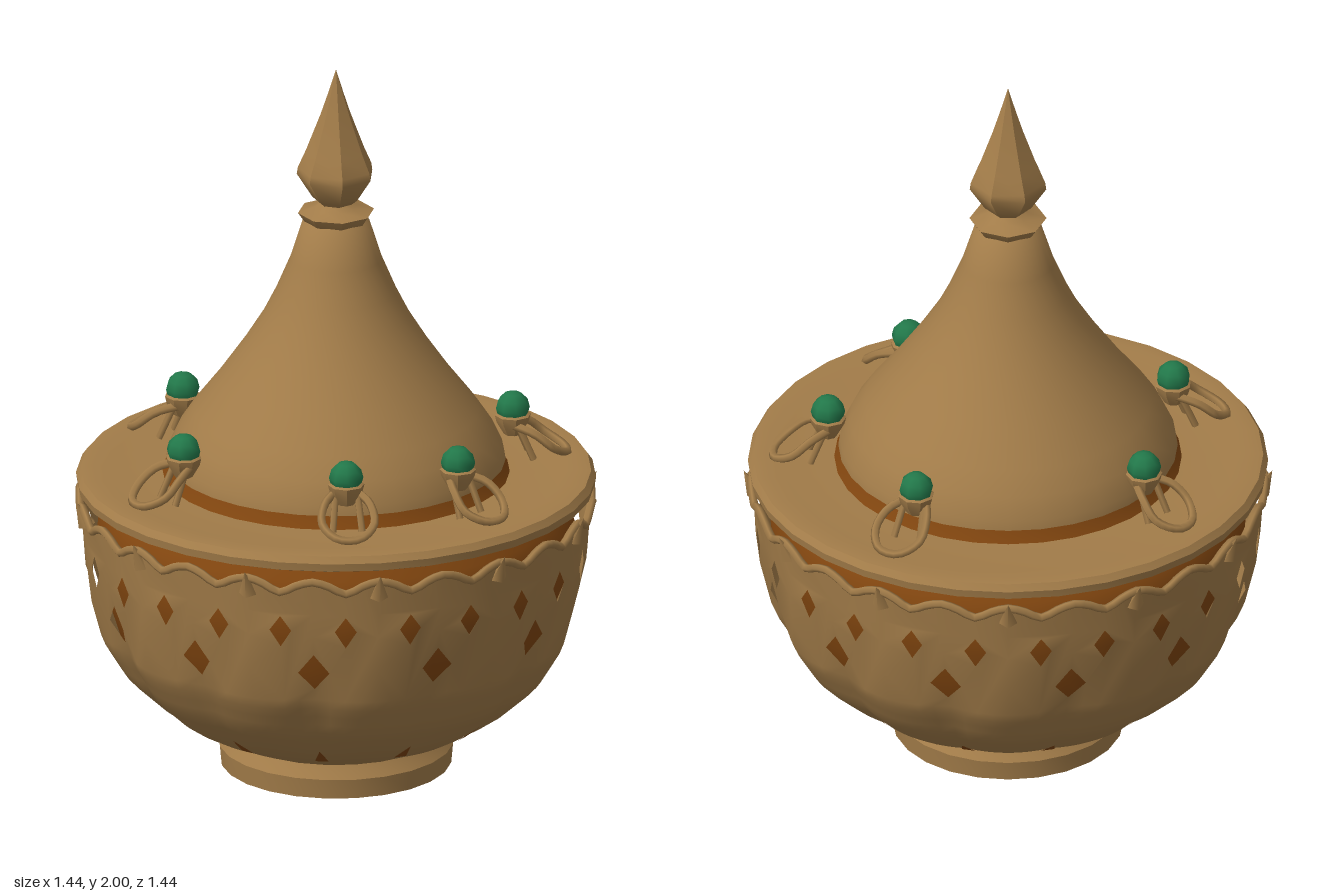
import * as THREE from 'three';
import { mergeGeometries, mergeVertices, toCreasedNormals } from 'three/addons/utils/BufferGeometryUtils.js';

const material = (name, color, side = THREE.FrontSide) => {
  const m = new THREE.MeshStandardMaterial({ color, side });
  m.name = name;
  return m;
};
const DEG = Math.PI / 180;

// Bowl wall outline: [radius, height]
const WALL = [[0.3, 0.095], [0.36, 0.115], [0.465, 0.175], [0.565, 0.27], [0.63, 0.38],
  [0.662, 0.48], [0.682, 0.58], [0.69, 0.68], [0.7, 0.78]];

function wallRadius(y) {
  let i = 1;
  while (i < WALL.length - 1 && WALL[i][1] < y) i++;
  const [r0, y0] = WALL[i - 1], [r1, y1] = WALL[i];
  return r0 + (r1 - r0) * (y - y0) / (y1 - y0);
}

// Point on the bowl with the relief of twelve petals
function wallPoint(deg, y, offset = 0) {
  const fade = Math.sin(Math.PI * THREE.MathUtils.clamp((y - 0.1) / 0.55, 0, 1));
  const petal = 0.03 * fade * (Math.abs(Math.cos(6 * deg * DEG)) - 0.6);
  const r = wallRadius(y) + petal + offset;
  return new THREE.Vector3(r * Math.sin(deg * DEG), y, r * Math.cos(deg * DEG));
}

function bend(geometry, offset = 0) {
  const p = geometry.attributes.position;
  for (let i = 0; i < p.count; i++) {
    const v = wallPoint(p.getX(i), p.getY(i), offset);
    p.setXYZ(i, v.x, v.y, v.z);
  }
  geometry.deleteAttribute('uv');
  geometry.deleteAttribute('normal');
  return geometry;
}

function lathe(points, sides, crease = 0.6) {
  const g = new THREE.LatheGeometry(points.map(([r, y]) => new THREE.Vector2(r, y)), sides);
  return toCreasedNormals(g, crease);
}

export function createModel() {
  const group = new THREE.Group();
  group.name = 'lidded bowl';
  const bronze = material('bronze', 0xa27c49);
  const bronzeSheet = material('bronze sheet', 0xa27c49, THREE.DoubleSide);
  const brown = material('dark brown', 0x80450f, THREE.DoubleSide);
  const green = material('green', 0x22784a);
  const add = (name, geometry, mat, parent = group) => {
    const mesh = new THREE.Mesh(geometry, mat);
    mesh.name = name;
    parent.add(mesh);
    return mesh;
  };

  // Foot
  add('foot', lathe([[0, 0], [0.315, 0], [0.32, 0.055], [0.305, 0.075], [0.295, 0.09], [0.31, 0.1], [0.36, 0.116]], 24), bronze);

  // Pierced bowl: a petalled lower grid and 24 cut-out panels
  const parts = [bend(new THREE.PlaneGeometry(360, 0.3, 96, 10).translate(180, 0.25, 0))];
  const edge = [[0, 0.4], [3.75, 0.4], [7.5, 0.4], [11.25, 0.4], [15, 0.4], [15, 0.435], [11.25, 0.49],
    [15, 0.545], [15, 0.6], [15, 0.67], [15, 0.77], [11.25, 0.757], [7.5, 0.735], [3.75, 0.757],
    [0, 0.77], [0, 0.67], [0, 0.6], [0, 0.5]];
  const diamond = [[5, 0.62], [7.5, 0.572], [10, 0.62], [7.5, 0.662]];
  for (let k = 0; k < 12; k++) {
    for (const flip of [false, true]) {
      const place = ([a, y]) => new THREE.Vector2(k * 30 + (flip ? 30 - a : a), y);
      const shape = new THREE.Shape(edge.map(place));
      shape.holes.push(new THREE.Path(diamond.map(place)));
      parts.push(bend(new THREE.ShapeGeometry(shape)));
    }
  }
  const bowl = mergeVertices(mergeGeometries(parts), 1e-4);
  bowl.computeVertexNormals();
  add('pierced bowl', bowl, bronzeSheet);

  // Rolled scalloped rim
  const rimPoints = [];
  for (let i = 0; i < 96; i++) rimPoints.push(wallPoint(i * 3.75, [0.77, 0.757, 0.735, 0.757][i % 4]));
  add('scalloped rim', new THREE.TubeGeometry(new THREE.CatmullRomCurve3(rimPoints, true), 192, 0.012, 5, true), bronze);

  // Flared rim tips and small openings between the petal feet
  for (let k = 0; k < 12; k++) {
    const pivot = new THREE.Group();
    pivot.name = 'rimTip';
    pivot.rotation.y = k * 30 * DEG;
    group.add(pivot);
    const tip = add('tip', new THREE.ConeGeometry(0.026, 0.075, 5), bronze, pivot);
    tip.position.set(0, 0.757, 0.703);
    tip.rotation.x = 0.45;

    const a = 15 + k * 30;
    const shape = new THREE.Shape([[a - 2.6, 0.145], [a + 2.6, 0.145], [a, 0.2]].map(([x, y]) => new THREE.Vector2(x, y)));
    const opening = bend(new THREE.ShapeGeometry(shape), 0.006);
    opening.computeVertexNormals();
    add('footOpening', opening, brown);
  }

  // Dark lining seen through the openings
  const lining = WALL.slice(1, 8).map(([r, y]) => [r - 0.04, y]);
  add('lining', lathe([[0, 0.115], ...lining, [0.62, 0.74], [0.57, 0.8]], 48), brown);

  // Flat lid ring with a dark underside
  add('lid ring', lathe([[0.69, 0.797], [0.705, 0.803], [0.708, 0.825], [0.695, 0.843], [0.66, 0.846],
    [0.62, 0.84], [0.46, 0.838]], 32), bronzeSheet);
  add('lid underside', lathe([[0.45, 0.81], [0.64, 0.806], [0.69, 0.797]], 32), brown);
  add('lid seam', lathe([[0.475, 0.835], [0.462, 0.855], [0.45, 0.88]], 32), brown);

  // Spire and low-poly finial
  add('spire', lathe([[0.44, 0.868], [0.462, 0.874], [0.458, 0.9], [0.43, 0.96], [0.39, 1.02], [0.32, 1.11],
    [0.25, 1.21], [0.2, 1.29], [0.165, 1.36], [0.125, 1.455], [0.092, 1.56], [0.06, 1.58]], 32, 0.8), bronzeSheet);
  add('collar', lathe([[0.07, 1.555], [0.088, 1.565], [0.105, 1.59], [0.06, 1.605], [0.04, 1.62]], 8, 0.5), bronze);
  add('finial', lathe([[0.035, 1.605], [0.065, 1.63], [0.107, 1.695], [0.104, 1.715], [0.082, 1.765],
    [0.042, 1.87], [0.022, 1.93], [0, 2]], 7, 0.7), bronze);

  // Six gem mounts, each with a sloping loop resting on the lid ring
  const loopHalf = [[0.47, 0.025, 0.945], [0.53, 0.062, 0.925], [0.58, 0.07, 0.885], [0.625, 0.03, 0.858]];
  const loopPoints = [...loopHalf, ...loopHalf.map(([r, w, y]) => [r, -w, y]).reverse()]
    .map(([r, w, y]) => new THREE.Vector3(w, y, r - 0.48));
  const loop = new THREE.TubeGeometry(new THREE.CatmullRomCurve3(loopPoints), 24, 0.012, 5);
  const spots = [[0.25, -0.42], [0.49, -0.01], [0.27, 0.39], [-0.05, 0.455], [-0.45, 0.17], [-0.37, -0.31]];
  for (const [x, z] of spots) {
    const mount = new THREE.Group();
    mount.name = 'gemMount';
    mount.position.set(x, 0, z);
    mount.rotation.y = Math.atan2(x, z);
    group.add(mount);
    add('loop', loop, bronze, mount);
    add('setting', lathe([[0, 0.905], [0.025, 0.91], [0.045, 0.945], [0.05, 0.965], [0.035, 0.975]], 8), bronze, mount);
    const gem = add('gem', new THREE.SphereGeometry(0.047, 8, 6), green, mount);
    gem.position.set(0, 0.985, 0);
    // Side struts from the setting down to the ring
    for (const s of [-1, 1]) {
      const strut = new THREE.LineCurve3(new THREE.Vector3(s * 0.03, 0.94, 0.01), new THREE.Vector3(s * 0.04, 0.845, 0.05));
      add('strut', new THREE.TubeGeometry(strut, 1, 0.01, 5), bronze, mount);
    }
  }
  return group;
}
